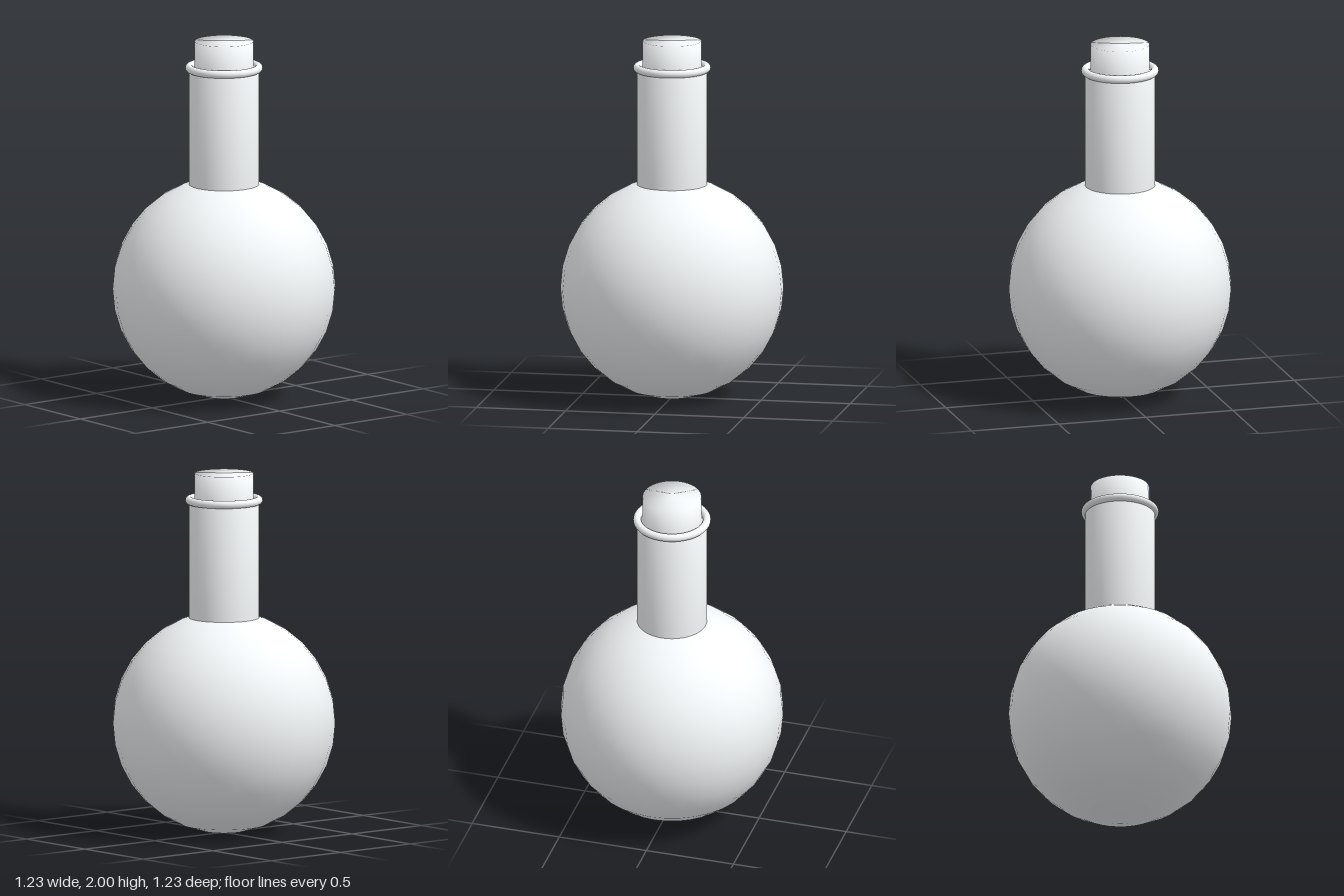
import * as THREE from 'three';

const material = new THREE.MeshStandardMaterial({ color: 0xf4f7f9 });

function addPart(group, name, geometry) {
  const mesh = new THREE.Mesh(geometry, material);
  mesh.name = name;
  group.add(mesh);
}

// Upright wall with a closed top; the shading flows over the rim
function cappedTube(radius, bottom, top) {
  const profile = [[radius, bottom], [radius, top], [0, top]];
  return new THREE.LatheGeometry(profile.map(([x, y]) => new THREE.Vector2(x, y)), 64);
}

export function createModel() {
  const group = new THREE.Group();
  group.name = 'roundFlask';

  // Round body
  addPart(group, 'body', new THREE.SphereGeometry(0.615, 32, 16).translate(0, 0.615, 0));

  // Straight neck, sunk slightly into the body
  addPart(group, 'neck', cappedTube(0.193, 1.16, 1.85));

  // Rounded lip around the mouth
  const lip = new THREE.TorusGeometry(0.192, 0.022, 16, 64);
  addPart(group, 'lip', lip.rotateX(Math.PI / 2).translate(0, 1.85, 0));

  // Stopper seated in the mouth
  addPart(group, 'stopper', cappedTube(0.162, 1.78, 2));

  return group;
}
